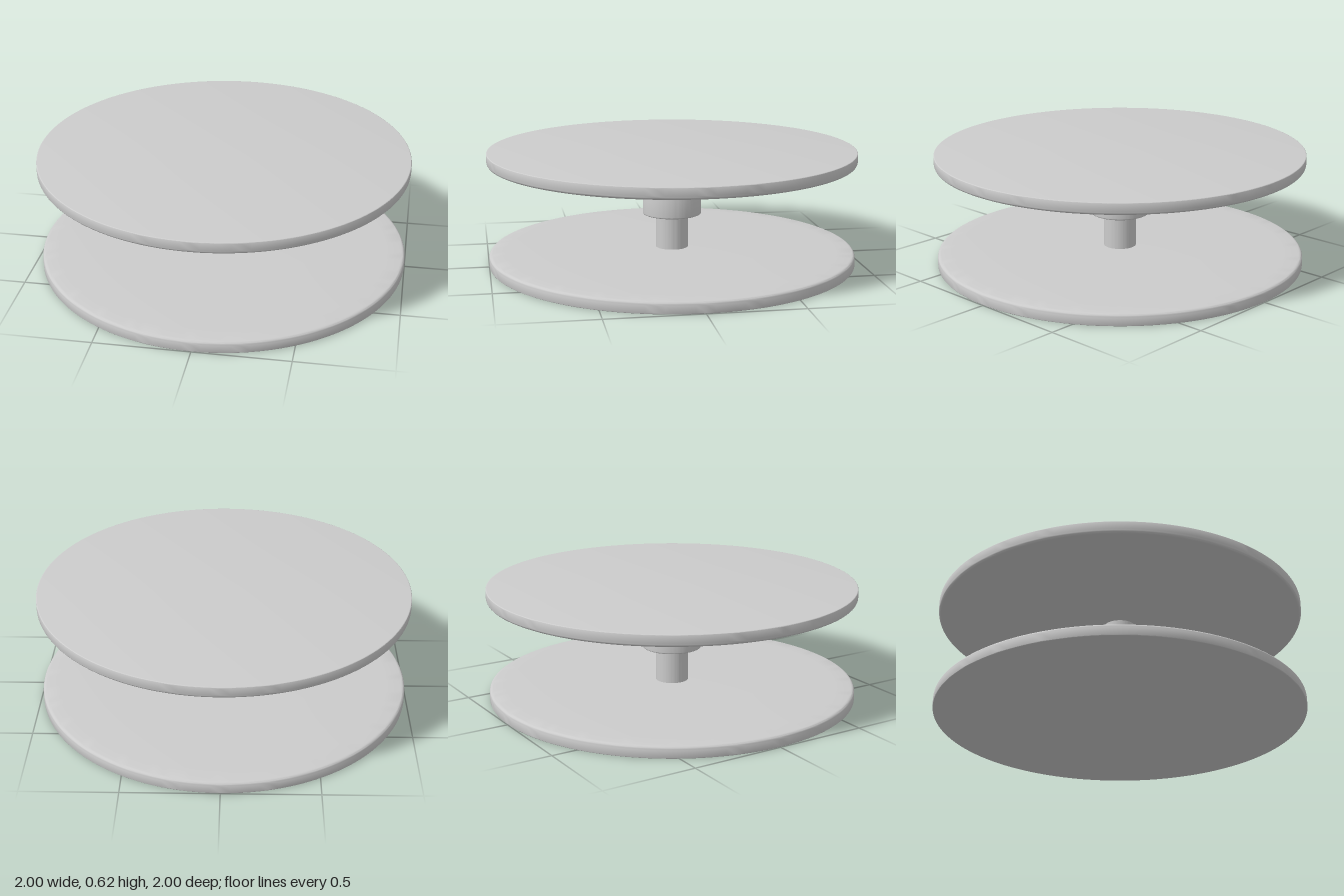
import * as THREE from 'three';
import { toCreasedNormals } from 'three/addons/utils/BufferGeometryUtils.js';

const HEIGHT = 0.62;
const material = new THREE.MeshStandardMaterial({ color: 0xcccccc });

// Corner points are [radius, y, rounding]; profiles run from bottom to top.
function roundedProfile(corners) {
  const pts = corners.map(([r, y]) => new THREE.Vector2(r, y));
  const out = [];
  corners.forEach(([, , round], i) => {
    const p = pts[i];
    if (!round) return out.push(p);
    const a = p.clone().add(pts[i - 1].clone().sub(p).setLength(round));
    const b = p.clone().add(pts[i + 1].clone().sub(p).setLength(round));
    out.push(...new THREE.QuadraticBezierCurve(a, p, b).getPoints(5));
  });
  return out;
}

function turned(name, corners) {
  const lathe = new THREE.LatheGeometry(roundedProfile(corners), 128);
  const mesh = new THREE.Mesh(toCreasedNormals(lathe, 0.6), material);
  mesh.name = name;
  return mesh;
}

export function createModel() {
  const group = new THREE.Group();
  group.name = 'spool';

  // Flange: flat outer face, slightly domed inner face, softened rim
  const flange = [
    [0, 0], [1, 0, 0.006], [1, 0.062, 0.02], [0.9, 0.067],
    [0.5, 0.072], [0.11, 0.076], [0, 0.076],
  ];
  group.add(turned('lowerFlange', flange));

  // The upper flange is the same profile mirrored top to bottom
  const mirrored = flange.map(([r, y, round]) => [r, HEIGHT - y, round]).reverse();
  group.add(turned('upperFlange', mirrored));

  // Central shaft joining the flanges
  group.add(turned('shaft', [[0.088, 0.06], [0.088, HEIGHT - 0.06]]));

  // Collar around the middle of the shaft
  group.add(turned('collar', [
    [0.08, 0.254], [0.09, 0.254], [0.1, 0.262], [0.16, 0.262, 0.008],
    [0.16, 0.405, 0.008], [0.08, 0.405],
  ]));

  return group;
}
